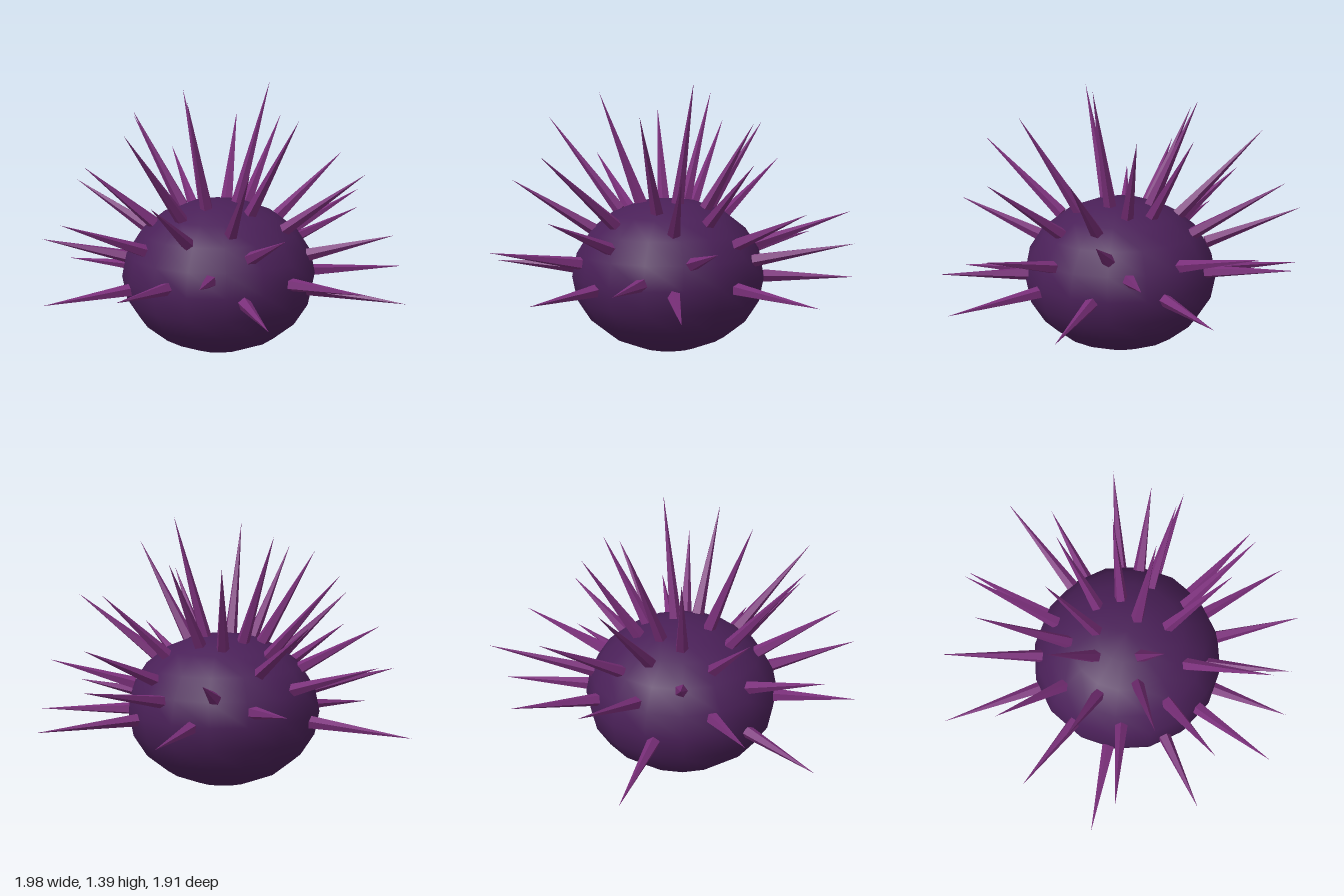
import * as THREE from 'three';

const CENTRE = new THREE.Vector3(-0.02, 0.4, 0.03);
const RADII = new THREE.Vector3(0.5, 0.395, 0.5);

// Spine tips, from the crown down to the lowest ring
const TIPS = [
  [0.22, 1.40, -0.06], [-0.065, 1.34, 0.38], [-0.31, 1.32, -0.24], [0.457, 1.25, 0.24],
  [-0.49, 1.23, 0.02], [0.19, 1.19, -0.37], [0.355, 1.06, 0.71], [-0.645, 1.15, -0.37],
  [-0.30, 1.20, 0.62], [-0.085, 1.18, -0.47], [0.757, 0.98, 0.085], [-0.63, 0.98, 0.34],
  [0.54, 1.02, -0.30], [-0.085, 0.90, 0.83], [-0.53, 0.94, -0.66], [-0.60, 0.76, 0.705],
  [-0.82, 0.85, 0.01], [-0.84, 0.72, -0.465], [0.525, 0.76, 0.69], [0.575, 0.78, -0.55],
  [-0.07, 0.70, -0.955], [0.875, 0.65, -0.065], [0.515, 0.625, -0.81], [-0.89, 0.585, 0.31],
  [0.195, 0.57, 0.955], [-0.44, 0.54, -0.825], [0.84, 0.46, 0.42], [-0.23, 0.46, 0.91],
  [0.16, 0.39, -0.91], [0.82, 0.37, -0.56], [0.98, 0.35, 0.12], [0.47, 0.35, 0.78],
  [-0.725, 0.335, 0.66], [-1.0, 0.34, -0.28],
];

export function createModel() {
  const group = new THREE.Group();
  group.name = 'seaUrchin';
  const shell = new THREE.MeshStandardMaterial({ color: 0x4a2058 });
  shell.name = 'deep purple shell';
  const spineMat = new THREE.MeshStandardMaterial({ color: 0x7a2f7a, flatShading: true });
  spineMat.name = 'magenta purple spine';

  // Flattened round shell
  const body = new THREE.Mesh(new THREE.SphereGeometry(1, 16, 10), shell);
  body.name = 'body';
  body.scale.copy(RADII);
  body.position.copy(CENTRE);
  group.add(body);

  // Spines radiate from the centre, each starting at the shell surface
  const spines = new THREE.Group();
  spines.name = 'spines';
  const up = new THREE.Vector3(0, 1, 0);
  for (const t of TIPS) {
    const tip = new THREE.Vector3(...t);
    const ray = tip.clone().sub(CENTRE);
    const base = ray.clone().multiplyScalar(0.98 / ray.clone().divide(RADII).length()).add(CENTRE);
    const length = tip.distanceTo(base);
    const spine = new THREE.Mesh(new THREE.ConeGeometry(0.034, length, 5), spineMat);
    spine.name = 'spine';
    spine.position.copy(base).add(tip).multiplyScalar(0.5);
    spine.quaternion.setFromUnitVectors(up, ray.normalize());
    spines.add(spine);
  }
  group.add(spines);
  return group;
}
